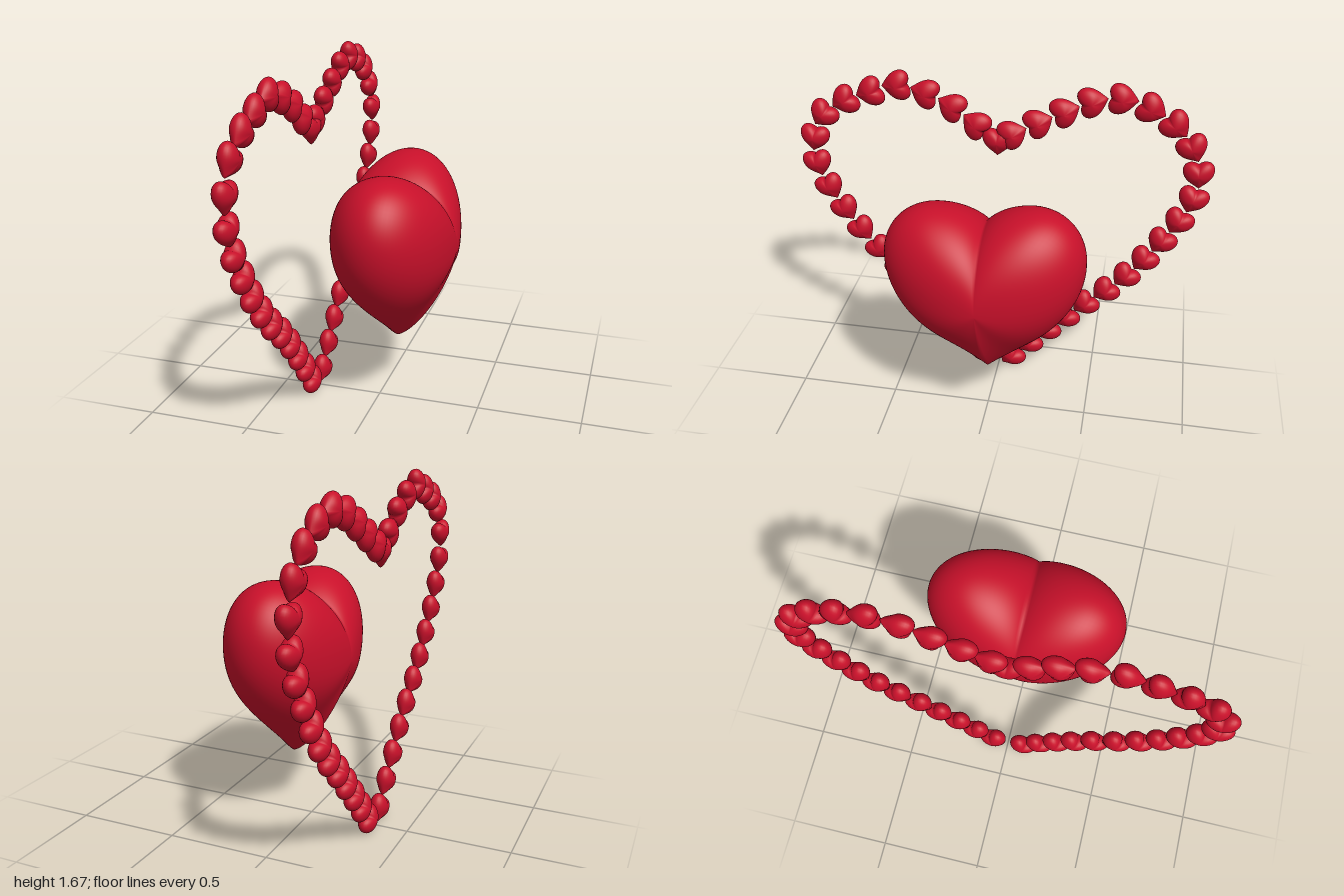
import * as THREE from 'three';
import { mergeVertices } from 'three/addons/utils/BufferGeometryUtils.js';

const HALF_THICKNESS = 0.29;
const RED = new THREE.MeshStandardMaterial({ color: 0xc8102a });

// Closed heart outline: x holds the model's z, y holds its y
function heartOutline(halfSteps) {
  const half = new THREE.Path();
  half.moveTo(0, 0.29);
  half.bezierCurveTo(0.05, 0.345, 0.14, 0.385, 0.235, 0.385);
  half.bezierCurveTo(0.37, 0.385, 0.47, 0.28, 0.47, 0.13);
  half.bezierCurveTo(0.47, -0.15, 0.21, -0.32, 0, -0.49);
  const points = half.getSpacedPoints(halfSteps);
  const mirrored = points.slice(1, -1).reverse().map(p => new THREE.Vector2(-p.x, p.y));
  return points.concat(mirrored);
}

// Puffed heart: the outline shrinks towards both poles, sharper near the tip
function heartGeometry(halfSteps, rings) {
  const outline = heartOutline(halfSteps);
  const n = outline.length;
  const positions = [];
  const indices = [];
  for (let j = 0; j <= rings; j++) {
    const phi = (j / rings - 0.5) * Math.PI;
    const c = Math.max(0, Math.cos(phi));
    const s = Math.sin(phi);
    for (const p of outline) {
      const down = Math.max(0, -p.y / p.length());
      const power = 2 / (2 - 0.6 * down ** 3);
      const r = c ** power;
      const x = Math.sign(s) * Math.abs(s) ** power * HALF_THICKNESS;
      positions.push(x, p.y * r + 0.05, p.x * r);
    }
  }
  for (let j = 0; j < rings; j++) {
    for (let i = 0; i < n; i++) {
      const a = j * n + i;
      const b = j * n + (i + 1) % n;
      if (j > 0) indices.push(a, b, a + n);
      if (j < rings - 1) indices.push(b, b + n, a + n);
    }
  }
  let geometry = new THREE.BufferGeometry();
  geometry.setAttribute('position', new THREE.Float32BufferAttribute(positions, 3));
  geometry.setIndex(indices);
  geometry = mergeVertices(geometry, 1e-5);
  geometry.computeVertexNormals();
  return geometry;
}

// Paths of the two halves of the ring, from top centre to bottom, as [z, y]
const BACK_PATH = [
  [-0.06, 1.40], [-0.30, 1.53], [-0.43, 1.59], [-0.56, 1.61], [-0.67, 1.58],
  [-0.79, 1.51], [-0.885, 1.40], [-0.93, 1.26], [-0.915, 1.125], [-0.79, 0.88],
  [-0.63, 0.655], [-0.445, 0.47], [-0.26, 0.28], [-0.065, 0.07],
];
const FRONT_PATH = [
  [0.015, 1.35], [0.23, 1.51], [0.36, 1.57], [0.49, 1.60], [0.62, 1.56],
  [0.755, 1.505], [0.88, 1.41], [0.93, 1.255], [0.91, 1.115], [0.78, 0.875],
  [0.61, 0.66], [0.40, 0.465], [0.23, 0.27], [0.07, 0.07],
];

// Twenty small hearts along a path, each with its tip pointing onwards
function heartChain(name, path, geometry) {
  const chain = new THREE.Group();
  chain.name = name;
  const curve = new THREE.CatmullRomCurve3(path.map(([z, y]) => new THREE.Vector3(-0.33, y, z)));
  const count = 20;
  for (let i = 0; i < count; i++) {
    const u = i / (count - 1);
    const tangent = curve.getTangentAt(u);
    const heart = new THREE.Mesh(geometry, RED);
    heart.name = 'smallHeart';
    heart.position.copy(curve.getPointAt(u));
    heart.rotation.x = Math.atan2(-tangent.z, -tangent.y);
    heart.scale.setScalar(0.155);
    chain.add(heart);
  }
  return chain;
}

export function createModel() {
  const model = new THREE.Group();
  model.name = 'heartsOrnament';

  // Large heart, tilted slightly
  const large = new THREE.Mesh(heartGeometry(64, 48), RED);
  large.name = 'largeHeart';
  large.position.set(0.085, 0.785, -0.005);
  large.rotation.x = 0.04;
  model.add(large);

  // Heart-shaped ring of small hearts
  const small = heartGeometry(20, 16);
  const back = heartChain('backHeartChain', BACK_PATH, small);
  const front = heartChain('frontHeartChain', FRONT_PATH, small);
  front.children[0].rotation.x = 0; // the heart at the notch hangs upright
  model.add(back, front);

  return model;
}
